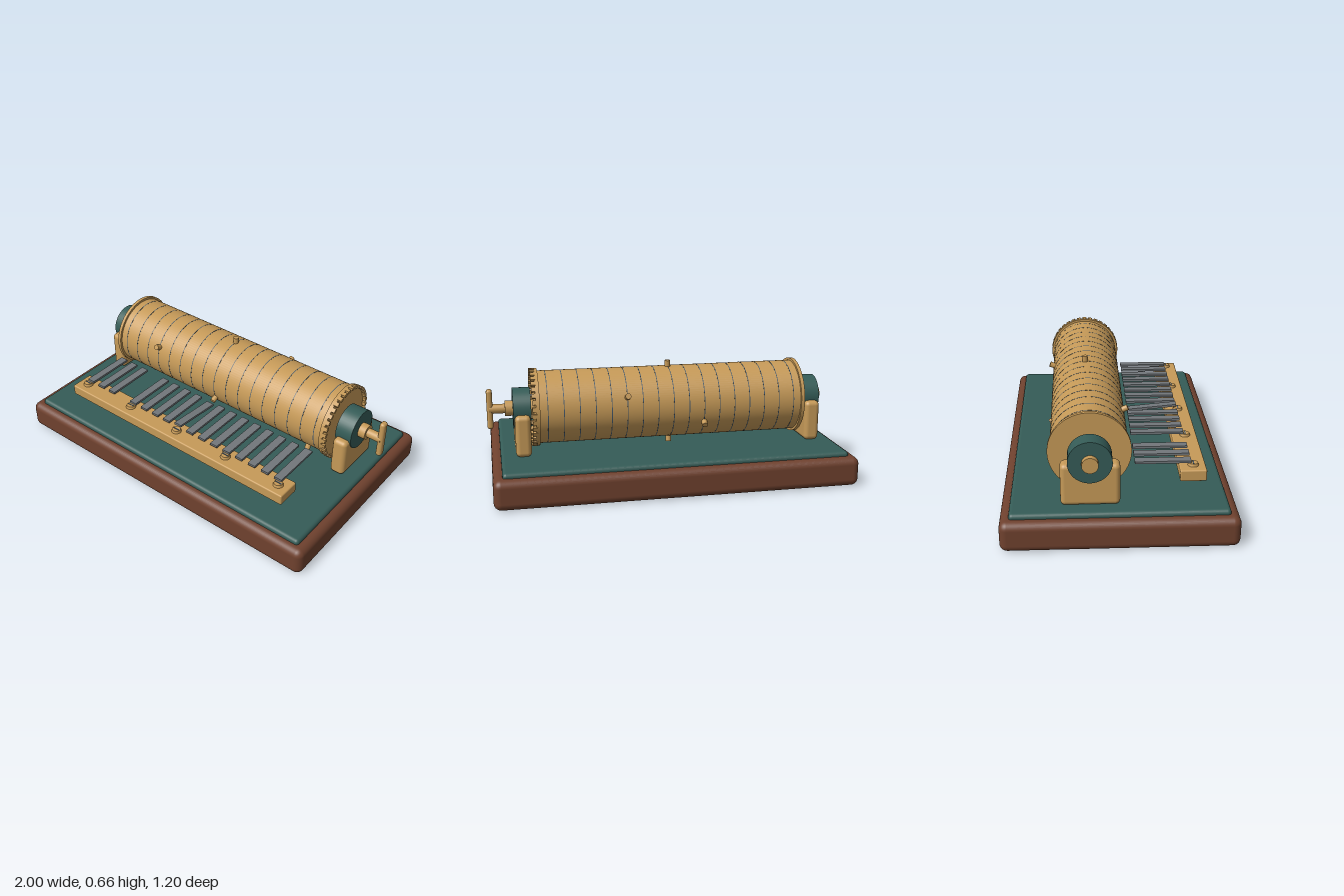
import * as THREE from 'three';
import { RoundedBoxGeometry } from 'three/addons/geometries/RoundedBoxGeometry.js';

const material = (name, color) => {
  const m = new THREE.MeshStandardMaterial({ color });
  m.name = name;
  return m;
};

export function createModel() {
  const brass = material('brass', 0xc69a58);
  const wood = material('wood', 0x6f412e);
  const teal = material('teal', 0x355c57);
  const steel = material('steel', 0x72777b);
  const groove = material('groove', 0x44586a);

  const model = new THREE.Group();
  model.name = 'musicBox';
  const add = (name, geometry, mat, x, y, z, parent = model) => {
    const mesh = new THREE.Mesh(geometry, mat);
    mesh.name = name;
    mesh.position.set(x, y, z);
    parent.add(mesh);
    return mesh;
  };
  const group = (name, x, y, z) => {
    const g = new THREE.Group();
    g.name = name;
    g.position.set(x, y, z);
    model.add(g);
    return g;
  };
  // Cylinder lying along x between two positions
  const axle = (name, r, x0, x1, mat, parent, sides = 48) => {
    const geo = new THREE.CylinderGeometry(r, r, x1 - x0, sides).rotateZ(-Math.PI / 2);
    return add(name, geo, mat, (x0 + x1) / 2, 0, 0, parent);
  };

  const cx = -0.0075;
  const pitch = 0.0857;

  // Base with felt top
  add('base', new RoundedBoxGeometry(1.985, 0.163, 1.2, 4, 0.04), wood, cx, 0.0815, 0);
  add('feltTop', new RoundedBoxGeometry(1.885, 0.06, 1.106, 4, 0.02), teal, cx, 0.158, 0);

  // Drum assembly, centred on its own axis
  const drum = group('drumAssembly', 0, 0.43, -0.147);
  axle('drum', 0.2, -0.74, 0.725, brass, drum, 96);
  axle('leftFlange', 0.213, -0.755, -0.735, brass, drum, 96);
  axle('gearDisc', 0.213, 0.72, 0.742, brass, drum, 96);
  axle('shaft', 0.042, -0.91, 0.9, brass, drum, 32);

  // Fine track lines around the drum
  for (let i = -8; i <= 8; i++) {
    const x = cx + i * pitch;
    axle('trackLine', 0.2006, x - 0.002, x + 0.002, groove, drum, 96);
  }

  // Gear teeth
  const toothGeo = new THREE.BoxGeometry(0.026, 0.016, 0.024);
  for (let i = 0; i < 36; i++) {
    const a = (i / 36) * Math.PI * 2;
    const t = add('gearTooth', toothGeo, brass, 0.748, Math.cos(a) * 0.207, Math.sin(a) * 0.207, drum);
    t.rotation.x = a;
  }

  // Drum pins: track number and angle from the top towards the front
  const pinGeo = new THREE.CylinderGeometry(0.016, 0.016, 0.05, 16);
  const pins = [[-5, 65], [0, -2], [0, 115], [7, 153], [0, 190], [-2, 245], [3, 292]];
  for (const [track, degrees] of pins) {
    const a = THREE.MathUtils.degToRad(degrees);
    const p = add('pin', pinGeo, brass, cx + track * pitch, Math.cos(a) * 0.208, Math.sin(a) * 0.208, drum);
    p.rotation.x = a;
  }

  // Bearings on their supports
  for (const side of [-1, 1]) {
    const x = cx - 0.0025 + side * 0.82;
    axle('bearing', 0.112, x - 0.048, x + 0.048, teal, drum);
    add('support', new RoundedBoxGeometry(0.085, 0.228, 0.3, 4, 0.025), brass, x, 0.301, -0.146);
  }

  // Winding key
  axle('keyStem', 0.026, 0.89, 0.985, brass, drum, 24);
  add('keyHandle', new RoundedBoxGeometry(0.032, 0.22, 0.046, 4, 0.014), brass, 0.981, 0, 0, drum);

  // Comb bar and tuned teeth; one tooth is missing and the middle one is lifted
  const comb = group('comb', cx, 0, 0);
  add('combBar', new RoundedBoxGeometry(1.525, 0.063, 0.137, 3, 0.008), brass, 0, 0.287, 0.382, comb);
  const reedGeo = new THREE.BoxGeometry(0.046, 0.013, 0.29);
  for (let i = -8; i <= 8; i++) {
    if (i === -5) continue;
    const reed = add('combTooth', reedGeo, steel, i * pitch, 0.34, 0.23, comb);
    if (i === 0) reed.rotation.x = -0.09;
  }

  // Slotted screws
  for (let i = -2; i <= 2; i++) {
    const x = i * 0.349;
    add('screwHead', new THREE.CylinderGeometry(0.024, 0.029, 0.016, 24), brass, x, 0.325, 0.386, comb);
    add('screwSlot', new THREE.BoxGeometry(0.042, 0.004, 0.006), groove, x, 0.333, 0.386, comb);
  }
  return model;
}
